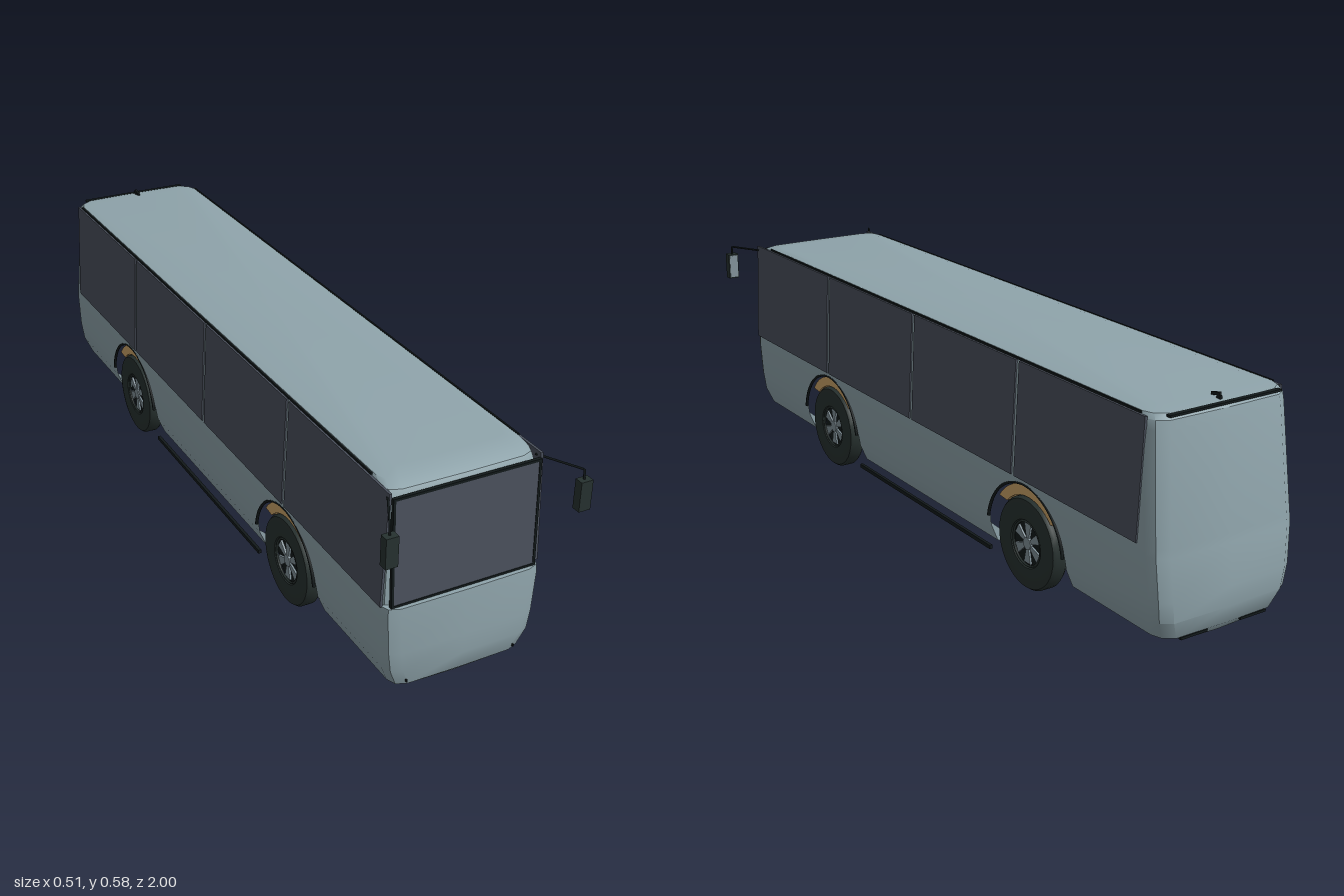
import * as THREE from 'three';
import { toCreasedNormals } from 'three/addons/utils/BufferGeometryUtils.js';

const mat = (name, color, side = THREE.FrontSide) => {
  const m = new THREE.MeshStandardMaterial({ color, side });
  m.name = name;
  return m;
};

const AXLES = [0.45, -0.51];
const HUB_Y = 0.117, ARCH_R = 0.152;

// height, half width, front z, back z
const PROFILE = [
  [0.042, 0.1, 0.9, -0.965], [0.065, 0.168, 0.922, -0.985], [0.11, 0.187, 0.93, -0.998],
  [0.16, 0.194, 0.931, -1], [0.26, 0.2, 0.931, -0.993], [0.28, 0.199, 0.93, -0.99],
  [0.2805, 0.199, 0.912, -0.99], [0.53, 0.188, 0.903, -0.96], [0.552, 0.186, 0.89, -0.956],
  [0.563, 0.18, 0.865, -0.945], [0.567, 0.16, 0.82, -0.9],
];

function profileAt(y) {
  let i = 0;
  while (i < PROFILE.length - 2 && y > PROFILE[i + 1][0]) i++;
  const a = PROFILE[i], b = PROFILE[i + 1];
  const t = THREE.MathUtils.clamp((y - a[0]) / (b[0] - a[0]), 0, 1);
  return a.map((v, k) => v + (b[k] - v) * t);
}

// Hollow shell: columns run around the plan outline, lifted over each wheel arch
function bodyGeometry() {
  const half = [];
  const corner = (k, s, dx, dz) => half.push({ at: p => [dx === null ? 0 : p[1] - dx, p[k] - s * dz], low: 0 });
  const front = [[null, 0], [0.035, 0.002], [0.009, 0.012], [0, 0.035]];
  const back = [[0, 0.045], [0.009, 0.02], [0.035, 0.003], [null, 0]];
  front.forEach(([dx, dz]) => corner(2, 1, dx, dz));
  for (const c of AXLES) {
    const add = (z, low) => half.push({ at: p => [p[1], z], low });
    add(c + ARCH_R + 0.0002, 0);
    for (let i = 0; i <= 20; i++) {
      const a = Math.PI * i / 20;
      add(c + ARCH_R * Math.cos(a), HUB_Y + ARCH_R * Math.sin(a));
    }
    add(c - ARCH_R - 0.0002, 0);
  }
  back.forEach(([dx, dz]) => corner(3, -1, dx, dz));
  const mirrored = half.slice(1, -1).reverse().map(c => ({ at: p => { const [x, z] = c.at(p); return [-x, z]; }, low: c.low }));
  const cols = [...half, ...mirrored];
  const pos = [], idx = [], rows = PROFILE.length, n = cols.length;
  const put = (c, y) => { const [x, z] = c.at(profileAt(y)); pos.push(x, y, z); };
  for (const c of cols) for (const [y] of PROFILE) put(c, Math.max(y, c.low));
  for (let i = 0; i < n; i++) {
    const k = (i + 1) % n;
    for (let j = 0; j < rows - 1; j++) {
      const a = i * rows + j, b = k * rows + j;
      idx.push(a, b, b + 1, a, b + 1, a + 1);
    }
  }
  // roof and floor
  const base = pos.length / 3;
  cols.forEach(c => put(c, PROFILE[0][0]));
  pos.push(0, 0.568, 0, 0, 0.042, 0);
  for (let i = 0; i < n; i++) {
    const k = (i + 1) % n;
    idx.push(base + n, i * rows + rows - 1, k * rows + rows - 1, base + n + 1, base + k, base + i);
  }
  const g = new THREE.BufferGeometry();
  g.setAttribute('position', new THREE.Float32BufferAttribute(pos, 3));
  g.setIndex(idx);
  return toCreasedNormals(g, 0.6);
}

export function createModel() {
  const paint = mat('body paint', 0x8fa4ab);
  const glass = mat('tinted glass', 0x4a505c);
  const black = mat('black trim', 0x12191a);
  const rubber = mat('tyre rubber', 0x27312f);
  const metal = mat('wheel metal', 0x82929a);
  const tan = mat('tan arch liner', 0xcda468);
  const casing = mat('mirror casing', 0x26312f);

  const root = new THREE.Group();
  root.name = 'bus';
  const add = (name, geo, m, x = 0, y = 0, z = 0, parent = root) => {
    const mesh = new THREE.Mesh(geo, m);
    mesh.name = name;
    mesh.position.set(x, y, z);
    parent.add(mesh);
    return mesh;
  };
  const box = (w, h, d) => new THREE.BoxGeometry(w, h, d);

  add('bodyShell', bodyGeometry(), paint);

  // Windscreen and its frame
  const screen = new THREE.Group();
  screen.name = 'windscreen';
  screen.position.set(0, 0.413, 0.91);
  screen.rotation.x = -0.036;
  root.add(screen);
  add('windscreenGlass', box(0.358, 0.258, 0.006), glass, 0, 0, 0, screen);
  for (const s of [-1, 1]) {
    add('windscreenFrameSide', box(0.006, 0.266, 0.009), black, s * 0.181, 0, 0, screen);
    add('windscreenFrameRail', box(0.368, 0.006, 0.009), black, 0, s * 0.131, 0, screen);
  }

  // Side windows between narrow pillars, and the roof gutter
  const edges = [0.903, 0.45, -0.004, -0.465, -0.92];
  for (const s of [-1, 1]) {
    for (let i = 0; i < 4; i++) {
      const a = edges[i] - (i ? 0.006 : 0), b = edges[i + 1] + (i < 3 ? 0.006 : 0);
      const pane = add('sideWindow', box(0.006, 0.278, a - b), glass, s * 0.1935, 0.419, (a + b) / 2);
      pane.rotation.z = s * 0.045;
    }
    add('roofGutter', box(0.004, 0.005, 1.72), black, s * 0.184, 0.561, -0.04);
    add('sillBar', box(0.008, 0.01, 0.65), black, s * 0.186, 0.05, -0.03);
    add('rearVent', box(0.075, 0.006, 0.008), black, s * 0.085, 0.062, -0.982);
    add('frontMarker', box(0.003, 0.006, 0.006), black, s * 0.14, 0.078, 0.924);
  }

  // Rear roof strip and camera
  add('rearRoofStrip', box(0.31, 0.005, 0.012), black, 0, 0.561, -0.95);
  add('cameraStalk', box(0.006, 0.008, 0.012), black, 0, 0.568, -0.93);
  add('rearCamera', box(0.006, 0.007, 0.026), black, 0, 0.573, -0.92).rotation.x = 0.2;

  // Wheel arches: trim edge and liner
  const liner = new THREE.Shape();
  liner.absarc(0, 0, 0.146, 0.62, Math.PI - 0.62, false);
  liner.absarc(0, 0, 0.119, Math.PI - 0.75, 0.75, true);
  const linerGeo = new THREE.ExtrudeGeometry(liner, { depth: 0.06, bevelEnabled: false, curveSegments: 20 });
  linerGeo.translate(0, 0, -0.03).rotateY(Math.PI / 2);
  const trimGeo = new THREE.TorusGeometry(ARCH_R, 0.004, 6, 32, Math.PI - 0.3);
  trimGeo.rotateZ(0.15).rotateY(Math.PI / 2);

  // Wheel parts, axle along x
  const tyreProfile = [[0.058, -0.02], [0.1, -0.022], [0.11, -0.02], [0.115, -0.013], [0.115, 0.013],
    [0.11, 0.02], [0.1, 0.022], [0.06, 0.02], [0.055, 0.012]].map(p => new THREE.Vector2(...p));
  const tyreGeo = toCreasedNormals(new THREE.LatheGeometry(tyreProfile, 40), 0.7);
  tyreGeo.rotateZ(-Math.PI / 2);
  const disc = (r, h) => new THREE.CylinderGeometry(r, r, h, 32).rotateZ(Math.PI / 2);
  const backGeo = disc(0.058, 0.028), capGeo = disc(0.015, 0.01);
  const rimGeo = new THREE.TorusGeometry(0.055, 0.003, 6, 32).rotateY(Math.PI / 2);
  const spokeShape = new THREE.Shape();
  spokeShape.moveTo(-0.004, 0.01);
  spokeShape.lineTo(0.004, 0.01);
  spokeShape.lineTo(0.013, 0.05);
  spokeShape.lineTo(-0.013, 0.05);
  const spokeGeo = new THREE.ExtrudeGeometry(spokeShape, { depth: 0.005, bevelEnabled: false });
  spokeGeo.rotateY(Math.PI / 2);

  for (const z of AXLES) for (const s of [-1, 1]) {
    add('archTrim', trimGeo, black, s * 0.197, HUB_Y, z);
    add('archLiner', linerGeo, tan, s * 0.157, HUB_Y, z);
    const wheel = new THREE.Group();
    wheel.name = 'wheel';
    wheel.position.set(s * 0.173, 0.119, z);
    wheel.rotation.y = s < 0 ? Math.PI : 0;
    root.add(wheel);
    add('tyre', tyreGeo, rubber, 0, 0, 0, wheel);
    add('wheelBack', backGeo, black, -0.004, 0, 0, wheel);
    add('rim', rimGeo, rubber, 0.016, 0, 0, wheel);
    add('hubCap', capGeo, metal, 0.012, 0, 0, wheel);
    for (let i = 0; i < 6; i++) add('spoke', spokeGeo, metal, 0.01, 0, 0, wheel).rotation.x = i * Math.PI / 3;
  }

  // Mirrors on bent arms
  for (const s of [-1, 1]) {
    const path = new THREE.CurvePath();
    const pts = [[0.184, 0.546, 0.885], [0.238, 0.546, 0.985], [0.238, 0.515, 0.987]]
      .map(([x, y, z]) => new THREE.Vector3(s * x, y, z));
    path.add(new THREE.LineCurve3(pts[0], pts[1]));
    path.add(new THREE.LineCurve3(pts[1], pts[2]));
    add('mirrorArm', new THREE.TubeGeometry(path, 24, 0.0028, 6), black);
    add('mirrorCasing', box(0.03, 0.073, 0.022), casing, s * 0.238, 0.487, 0.988);
    add('mirrorGlass', box(0.025, 0.066, 0.002), metal, s * 0.238, 0.487, 0.9765);
  }

  return root;
}
